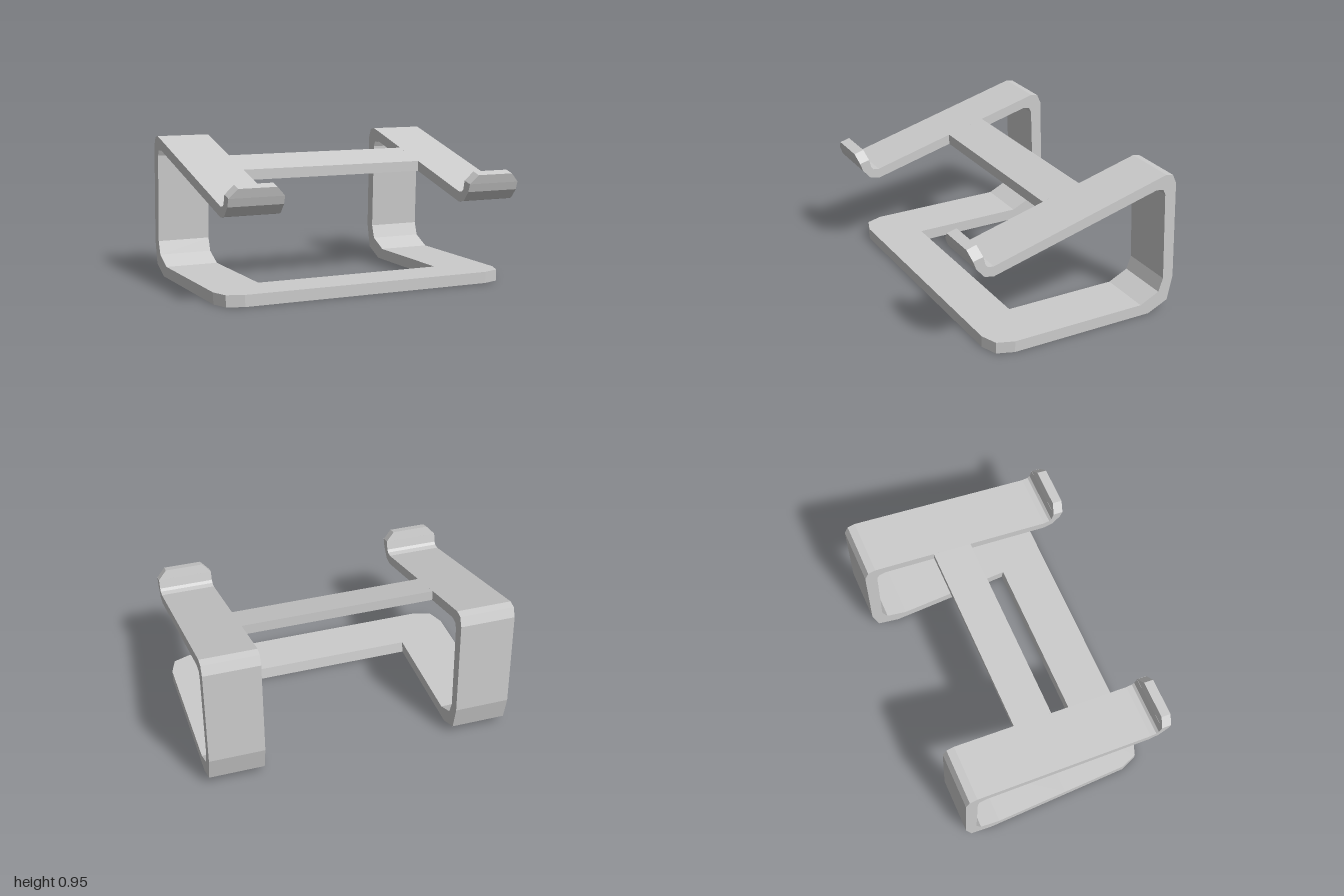
import * as THREE from 'three';

const material = new THREE.MeshStandardMaterial({ color: 0xcccccc, flatShading: true });
const STRAP = 0.36, INNER = 0.64, PLATE = 0.075;

const toShape = (points) => new THREE.Shape(points.map(([a, b]) => new THREE.Vector2(a, b)));

function addMesh(parent, name, geometry) {
  const mesh = new THREE.Mesh(geometry, material);
  mesh.name = name;
  parent.add(mesh);
  return mesh;
}

// Extrudes a side profile of [z, y] points across x, from x = 0 to x = -width
function sideExtrude(points, width) {
  return new THREE.ExtrudeGeometry(toShape(points), { depth: width, bevelEnabled: false })
    .rotateY(-Math.PI / 2);
}

// Bent strap: base arm, upright, sloping support and curled front
const strapProfile = [
  [0, 0], [-0.548, 0], [-0.688, 0.064], [-0.723, 0.227],
  [-0.703, 0.878], [-0.676, 0.938], [-0.626, 0.948],
  [0.576, 0.622], [0.614, 0.626], [0.63, 0.641], [0.645, 0.7],
  [0.711, 0.684], [0.692, 0.63], [0.638, 0.568], [0.576, 0.556],
  [-0.56, 0.859], [-0.61, 0.851], [-0.626, 0.816],
  [-0.649, 0.227], [-0.618, 0.138], [-0.486, PLATE], [0, PLATE],
];

// Lip end, narrowed towards its top edge
function lipGeometry() {
  const geometry = new THREE.BoxGeometry(STRAP, 0.06, 0.068);
  const pos = geometry.attributes.position;
  for (let i = 0; i < pos.count; i++) {
    if (pos.getY(i) > 0) pos.setX(i, Math.sign(pos.getX(i)) * (STRAP / 2 - 0.055));
  }
  geometry.computeVertexNormals();
  return geometry;
}

// U-shaped base with clipped front corners and a slightly sloped inner edge
function baseGeometry() {
  const half = [[INNER, 0.27], [INNER, 0], [1, 0], [1, 0.43], [0.96, 0.54], [0.85, 0.58]];
  const outline = [...half, ...half.map(([x, z]) => [-x, z]).reverse()];
  const geometry = new THREE.ExtrudeGeometry(toShape(outline.map(([x, z]) => [x, -z])), {
    depth: PLATE, bevelEnabled: false,
  }).rotateX(-Math.PI / 2);
  const pos = geometry.attributes.position;
  for (let i = 0; i < pos.count; i++) {
    if (Math.abs(pos.getZ(i) - 0.27) < 0.001 && pos.getY(i) < 0.01) pos.setZ(i, 0.258);
  }
  geometry.computeVertexNormals();
  return geometry;
}

export function createModel() {
  const stand = new THREE.Group();
  stand.name = 'stand';

  addMesh(stand, 'base', baseGeometry());

  for (const [side, sign] of [['left', 1], ['right', -1]]) {
    const centre = sign * (1 - STRAP / 2);
    const strap = addMesh(stand, side + 'Strap', sideExtrude(strapProfile, STRAP));
    strap.position.x = centre + STRAP / 2;

    const lip = addMesh(stand, side + 'Lip', lipGeometry());
    lip.position.set(centre, 0.72, 0.686);
    lip.rotation.x = 0.265;
  }

  // Cross bar follows the slope of the supports
  const bar = addMesh(stand, 'crossBar', sideExtrude(
    [[0.035, 0.701], [0.035, 0.769], [-0.225, 0.839], [-0.225, 0.77]], INNER * 2));
  bar.position.x = INNER;

  return stand;
}
